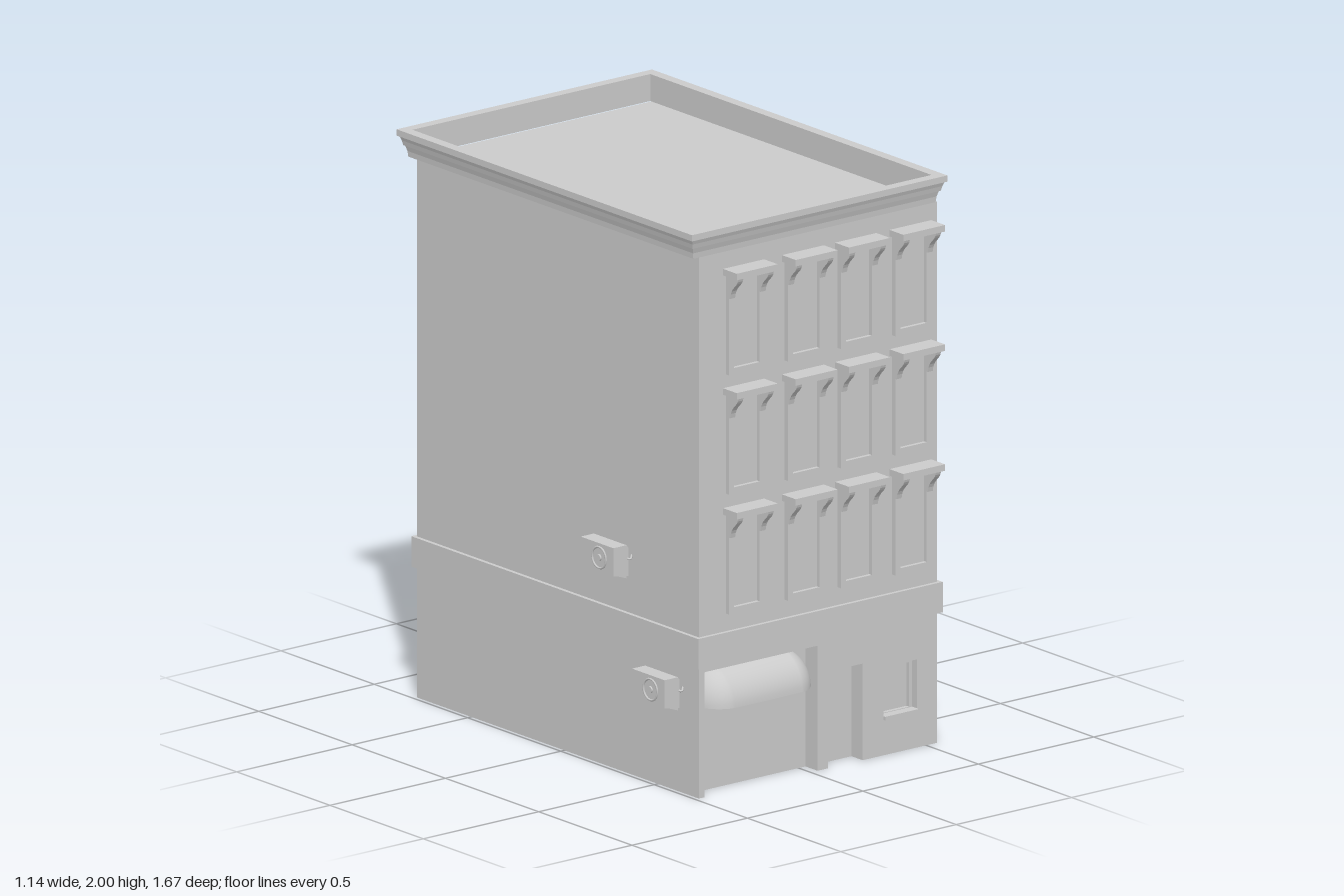
import * as THREE from 'three';

const mat = new THREE.MeshStandardMaterial({ color: 0xcccccc, side: THREE.DoubleSide });
const FRONT = 0.72, TOP = 1.905;
const WALL = [-0.484, 0.547, -0.79, FRONT]; // x0, x1, z0, z1

function add(parent, name, geometry) {
  const mesh = new THREE.Mesh(geometry, mat);
  mesh.name = name;
  parent.add(mesh);
  return mesh;
}

// Box from bounds; open lists the sides left out (0 +x, 1 -x, 2 +y, 3 -y, 4 +z, 5 -z)
function box(x0, x1, y0, y1, z0, z1, open = []) {
  const g = new THREE.BoxGeometry(x1 - x0, y1 - y0, z1 - z0);
  g.translate((x0 + x1) / 2, (y0 + y1) / 2, (z0 + z1) / 2);
  const index = Array.from(g.index.array).filter((_, i) => !open.includes(Math.floor(i / 6)));
  g.setIndex(index);
  g.clearGroups();
  return g;
}

// Rectangular moulding: an [outset, y] profile swept around the bounds
function moulding([x0, x1, z0, z1], profile) {
  const pos = [];
  const ring = ([o, y]) => [
    [x0 - o, y, z1 + o], [x1 + o, y, z1 + o], [x1 + o, y, z0 - o], [x0 - o, y, z0 - o]];
  for (let i = 0; i < profile.length - 1; i++) {
    const a = ring(profile[i]), b = ring(profile[i + 1]);
    for (let k = 0; k < 4; k++) {
      const n = (k + 1) % 4;
      pos.push(...a[k], ...a[n], ...b[n], ...a[k], ...b[n], ...b[k]);
    }
  }
  const g = new THREE.BufferGeometry();
  g.setAttribute('position', new THREE.Float32BufferAttribute(pos, 3));
  g.computeVertexNormals();
  return g;
}

const shapeOf = (pts) => new THREE.Shape(pts.map(([x, y]) => new THREE.Vector2(x, y)));
const rect = (x0, x1, y0, y1) => shapeOf([[x0, y0], [x1, y0], [x1, y1], [x0, y1]]);

// Flat rectangular frame with a border
function frame(x0, x1, y0, y1, border, z, depth) {
  const s = rect(x0, x1, y0, y1);
  s.holes.push(rect(x0 + border, x1 - border, y0 + border, y1 - border));
  return new THREE.ExtrudeGeometry(s, { depth, bevelEnabled: false }).translate(0, 0, z);
}

// Curved bracket under a window hood
function bracket(x, width, y) {
  const s = new THREE.Shape();
  s.moveTo(0.76, y);
  s.lineTo(0.828, y);
  s.bezierCurveTo(0.822, y - 0.035, 0.79, y - 0.03, 0.783, y - 0.08);
  s.lineTo(0.76, y - 0.08);
  const g = new THREE.ExtrudeGeometry(s, { depth: width, bevelEnabled: false, curveSegments: 8 });
  return g.rotateY(-Math.PI / 2).translate(x + width, 0, 0);
}

function upperWindow(x0, x1, y0) {
  const g = new THREE.Group();
  g.name = 'upperWindow';
  const hoodY = y0 + 0.35;
  add(g, 'windowFrame', frame(x0, x1, y0, hoodY, 0.022, 0.76, 0.018));
  add(g, 'windowPane', box(x0 + 0.01, x1 - 0.01, y0 + 0.01, hoodY - 0.01, 0.76, 0.764));
  add(g, 'windowHood', box(x0 - 0.012, x1 + 0.012, hoodY, hoodY + 0.023, 0.76, 0.834));
  for (const x of [x0, x1 - 0.022]) add(g, 'hoodBracket', bracket(x, 0.022, hoodY));
  return g;
}

// Wall-mounted cooling unit on the -x side
function coolingUnit(y, z) {
  const g = new THREE.Group();
  g.name = 'coolingUnit';
  const s = shapeOf([[-0.565, 0.02], [-0.5, 0.01], [-0.5, 0.11], [-0.508, 0.12], [-0.565, 0.12]]);
  add(g, 'unitCasing', new THREE.ExtrudeGeometry(s, { depth: 0.175, bevelEnabled: false }));
  for (const zb of [0.025, 0.135]) {
    const arm = shapeOf([[-0.56, 0.02], [-0.485, -0.008], [-0.485, 0.02]]);
    add(g, 'unitBracket', new THREE.ExtrudeGeometry(arm, { depth: 0.012, bevelEnabled: false }).translate(0, 0, zb));
  }
  add(g, 'mountPlate', box(-0.5, -0.484, 0.03, 0.09, 0.04, 0.14));
  const ring = new THREE.TorusGeometry(0.037, 0.004, 6, 20).rotateY(Math.PI / 2);
  add(g, 'fanRing', ring.translate(-0.566, 0.07, 0.1));
  const hub = new THREE.CylinderGeometry(0.012, 0.012, 0.008, 12).rotateZ(Math.PI / 2);
  add(g, 'fanHub', hub.translate(-0.567, 0.07, 0.1));
  const path = new THREE.CatmullRomCurve3([[-0.505, 0.075, 0.165], [-0.498, 0.07, 0.182], [-0.482, 0.08, 0.17]]
    .map((p) => new THREE.Vector3(...p)));
  add(g, 'unitPipe', new THREE.TubeGeometry(path, 8, 0.004, 6));
  g.position.set(0, y, z);
  return g;
}

// Hollow quarter-round awning with rounded ends
function awning(x0, x1, y, z, r, endLength) {
  const g = new THREE.SphereGeometry(1, 12, 32, Math.PI / 2, Math.PI / 2).rotateZ(Math.PI / 2);
  const p = g.attributes.position;
  const mid = (x0 + x1) / 2, straight = (x1 - x0) / 2 - endLength;
  for (let i = 0; i < p.count; i++) {
    const x = Math.abs(p.getX(i)) < 1e-6 ? 0 : p.getX(i);
    p.setXYZ(i, mid + Math.sign(x) * straight + x * endLength, y + p.getY(i) * r, z + p.getZ(i) * r);
  }
  g.computeVertexNormals();
  return g;
}

export function createModel() {
  const model = new THREE.Group();
  model.name = 'building';

  // Hollow body, open below, with the front cut for shop, door and window
  const [x0, x1, z0, z1] = WALL;
  add(model, 'wallsAndRoof', box(x0, x1, 0, TOP, z0, z1, [3, 4]));
  const shop = [-0.46, 0.03, 0, 0.44], door = [0.075, 0.225, 0, 0.34], win = [0.315, 0.46, 0.127, 0.31];
  const front = shapeOf([
    [x0, 0], [shop[0], 0], [shop[0], shop[3]], [shop[1], shop[3]], [shop[1], 0],
    [door[0], 0], [door[0], door[3]], [door[1], door[3]], [door[1], 0],
    [x1, 0], [x1, TOP], [x0, TOP]]);
  front.holes.push(rect(...win));
  add(model, 'frontWall', new THREE.ShapeGeometry(front).translate(0, 0, FRONT));

  // Recesses behind the openings
  add(model, 'shopRecess', box(...shop, 0.655, FRONT, [3, 4]));
  add(model, 'doorRecess', box(...door, 0.66, FRONT, [3, 4]));
  add(model, 'groundWindowRecess', box(...win, 0.68, FRONT, [4]));
  add(model, 'groundWindowFrame', frame(win[0], win[1], win[2], win[3], 0.013, 0.68, 0.015));
  add(model, 'groundWindowSill', box(win[0], win[1], 0.125, 0.138, 0.69, 0.731));
  add(model, 'awning', awning(shop[0], shop[1], 0.305, 0.632, 0.13, 0.11));

  // Band above the ground floor and crowning cornice
  add(model, 'band', moulding(WALL, [[0, 0.46], [0.014, 0.46], [0.014, 0.567], [0, 0.567]]));
  add(model, 'cornice', moulding([-0.5, 0.53, -0.795, 0.712], [
    [0, 1.905], [0.01, 1.905], [0.012, 1.925], [0.018, 1.945], [0.022, 1.945], [0.026, 1.962],
    [0.032, 1.978], [0.038, 1.978], [0.038, 2], [0, 2], [0, 1.905]]));

  // Three rows of four hooded windows
  for (const y of [0.645, 1.067, 1.487])
    for (const [a, b] of [[-0.4, -0.246], [-0.145, 0.013], [0.085, 0.24], [0.321, 0.478]])
      model.add(upperWindow(a, b, y));

  model.add(coolingUnit(0.692, 0.187), coolingUnit(0.292, 0.462));
  return model;
}
